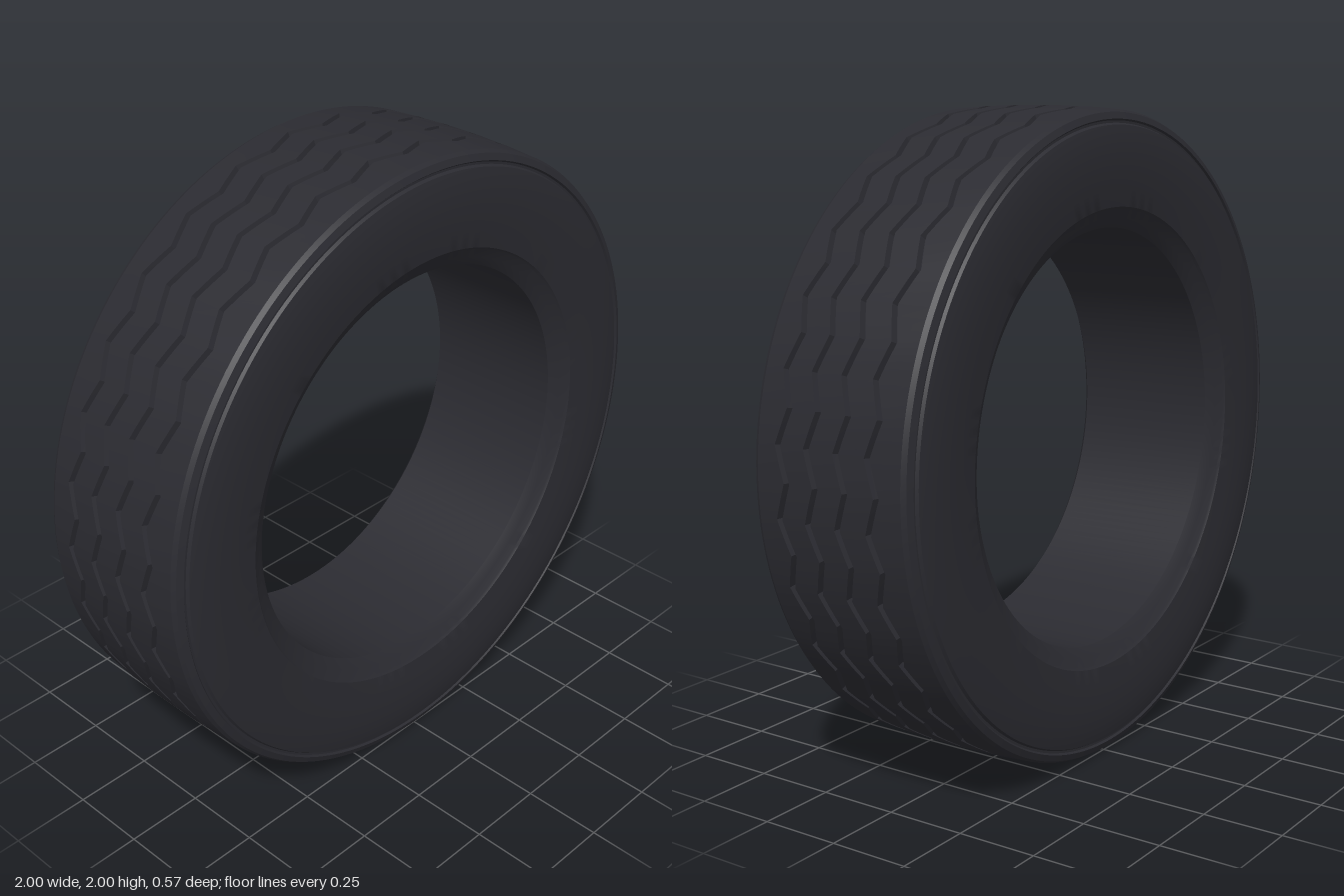
import * as THREE from 'three';
import { toCreasedNormals } from 'three/addons/utils/BufferGeometryUtils.js';

const WAVES = 30;            // zigzags around the tread
const SEGMENTS = WAVES * 6;
const GROOVES = [-0.157, -0.052, 0.052, 0.157];

// Revolve [radius, z] points around the z axis, optionally reshaping first
function revolve(points, name, material, crease, reshape) {
  let geo = new THREE.LatheGeometry(points.map(([r, z]) => new THREE.Vector2(r, z)), SEGMENTS);
  if (reshape) reshape(geo, points.length);
  geo.rotateX(Math.PI / 2);
  geo.deleteAttribute('normal');
  geo = toCreasedNormals(geo, crease);
  const mesh = new THREE.Mesh(geo, material);
  mesh.name = name;
  mesh.position.y = 1;
  return mesh;
}

// Slightly crowned tread surface
const crown = (z) => 1 - 0.16 * z * z;

export function createModel() {
  const group = new THREE.Group();
  group.name = 'tire';
  const rubber = new THREE.MeshStandardMaterial({ color: 0x2b2b31 });
  rubber.name = 'blackRubber';

  // Tread with four grooves
  const tread = [[crown(0.25), -0.25]];
  for (const z of GROOVES) {
    tread.push([crown(z), z - 0.01], [crown(z) - 0.018, z - 0.005],
      [crown(z) - 0.018, z + 0.005], [crown(z), z + 0.01]);
  }
  tread.push([crown(0.25), 0.25]);

  // Shift the groove columns sideways in a triangle wave
  const zigzag = (geo, count) => {
    const pos = geo.attributes.position;
    for (let i = 0; i < pos.count; i++) {
      const column = i % count;
      if (column === 0 || column === count - 1) continue;
      const t = (Math.floor(i / count) % 6) / 6;
      pos.setY(i, pos.getY(i) + 0.017 * (4 * Math.abs(t - 0.5) - 1));
    }
  };
  group.add(revolve(tread, 'tread', rubber, 0.5, zigzag));

  // Shoulder, rim line, sidewall and bead on one side
  const side = [
    [crown(0.25), 0.25], [0.982, 0.264], [0.962, 0.272],
    [0.957, 0.266], [0.95, 0.266], [0.945, 0.275],
    [0.932, 0.278], [0.9, 0.283], [0.86, 0.286], [0.81, 0.286],
    [0.76, 0.283], [0.705, 0.277], [0.698, 0.27], [0.67, 0.257], [0.642, 0.235],
  ];
  const mirrored = side.map(([r, z]) => [r, -z]).reverse();
  group.add(revolve(side, 'frontSidewall', rubber, 0.4));
  group.add(revolve(mirrored, 'backSidewall', rubber, 0.4));

  // Inner bore
  group.add(revolve([[0.642, 0.235], [0.642, -0.235]], 'bore', rubber, 0.4));

  return group;
}
